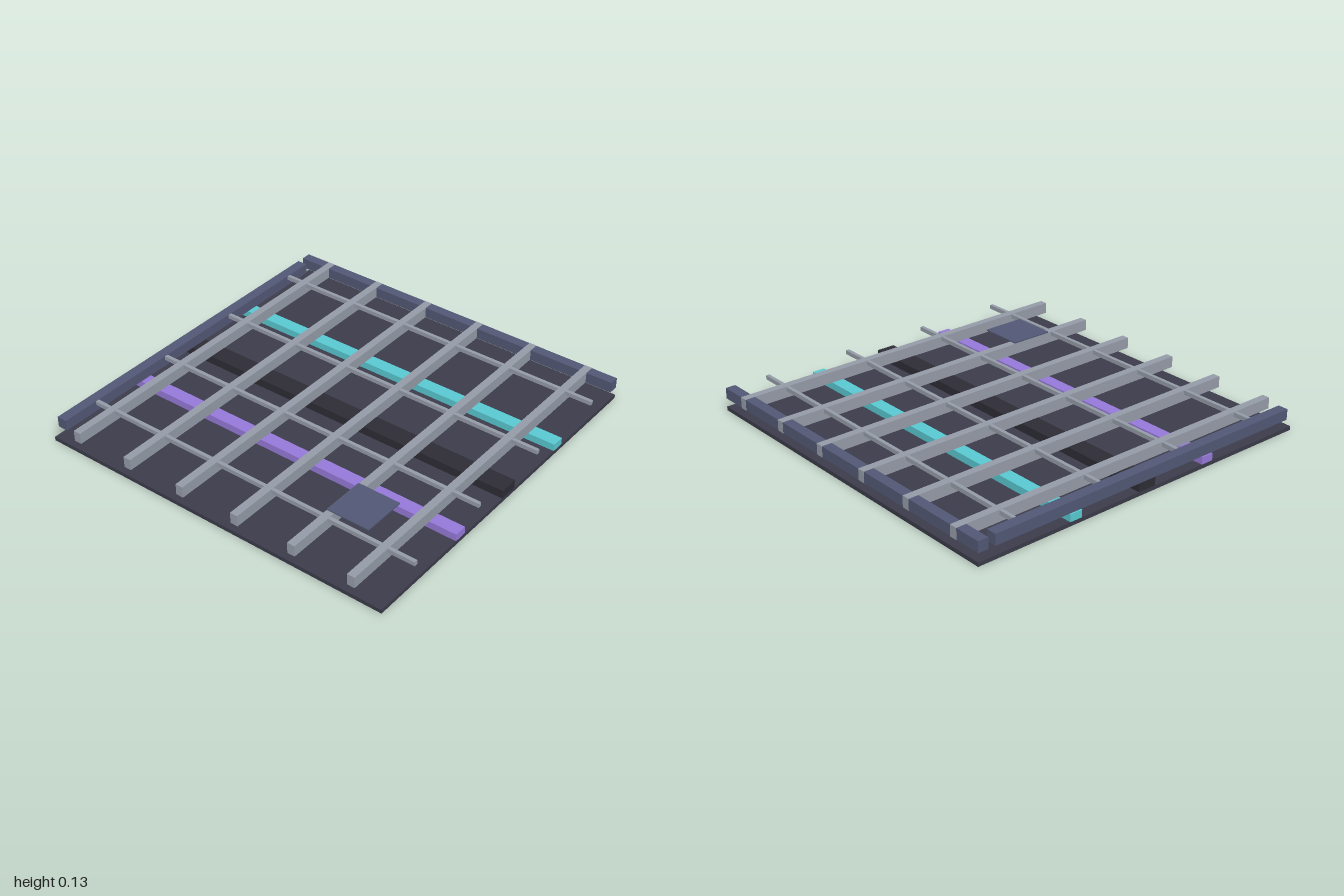
import * as THREE from 'three';

export function createModel() {
  const model = new THREE.Group();
  model.name = 'ceilingSection';

  const paint = (color) => new THREE.MeshStandardMaterial({ color });
  const slabMat = paint(0x3b3b4a);
  const railMat = paint(0x525875);
  const gridMat = paint(0x949ba7);
  const ductMat = paint(0x2d2c35);
  const tealMat = paint(0x58c8d0);
  const violetMat = paint(0x9579d8);

  // Box given by its minimum and maximum along each axis
  function block(name, mat, [x0, x1], [y0, y1], [z0, z1], parent = model) {
    const mesh = new THREE.Mesh(new THREE.BoxGeometry(x1 - x0, y1 - y0, z1 - z0), mat);
    mesh.position.set((x0 + x1) / 2, (y0 + y1) / 2, (z0 + z1) / 2);
    mesh.name = name;
    parent.add(mesh);
    return mesh;
  }

  // Base slab
  block('baseSlab', slabMat, [-1, 1], [0, 0.021], [-1, 1]);

  // Service runs lying on the slab
  block('centralDuct', ductMat, [-1, 1], [0.021, 0.066], [-0.052, 0.052]);
  block('tealConduit', tealMat, [-1, 1], [0.021, 0.06], [-0.475, -0.405]);
  block('violetConduit', violetMat, [-1, 1], [0.021, 0.06], [0.365, 0.435]);

  // Edge rails at the back and one side
  block('backRail', railMat, [-1, 1], [0.066, 0.124], [-0.999, -0.944]);
  block('sideRail', railMat, [-1, -0.944], [0.066, 0.124], [-0.905, 0.967]);

  // Raised grid: six main beams and four thin cross bars
  const grid = new THREE.Group();
  grid.name = 'raisedGrid';
  model.add(grid);
  for (let i = 0; i < 6; i++) {
    const x = (i - 2.5) / 3;
    block('mainBeam', gridMat, [x - 0.021, x + 0.021], [0.065, 0.125], [-1, 1], grid);
  }
  for (let i = 0; i < 4; i++) {
    const z = (i - 1.5) / 2;
    block('crossBar', gridMat, [-0.999, 1], [0.101, 0.1235], [z - 0.01, z + 0.01], grid);
  }

  // Access panel resting on the grid
  block('accessPanel', railMat, [0.48, 0.717], [0.125, 0.132], [0.48, 0.717]);

  return model;
}
